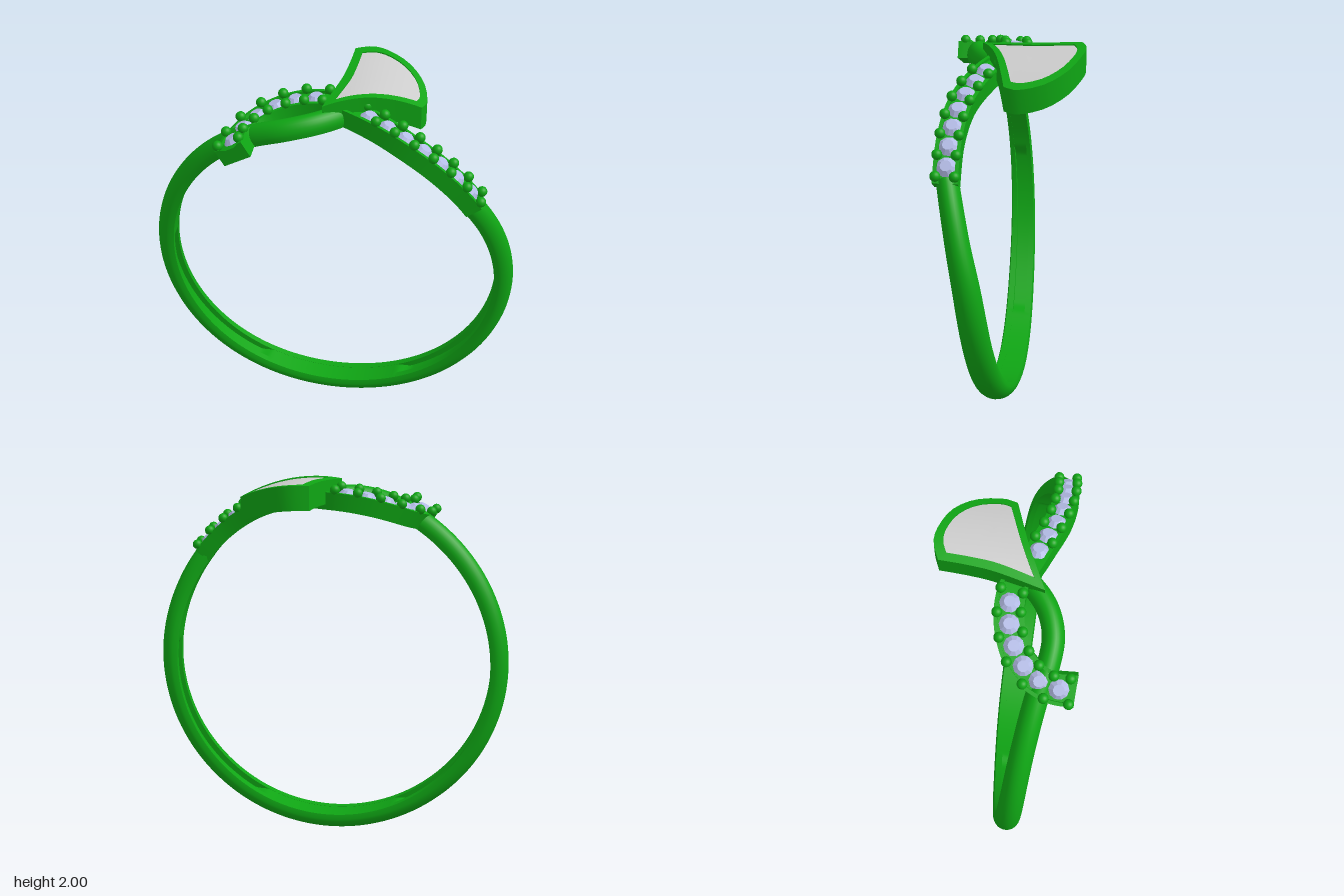
import * as THREE from 'three';
import { toCreasedNormals } from 'three/addons/utils/BufferGeometryUtils.js';

const R = 0.91;    // mid radius of the ring
const CY = 0.955;  // height of the ring centre
const V = (x, y, z) => new THREE.Vector3(x, y, z);

// Skin a list of equal-length loops of points; optionally join last to first or cap ends.
function loft(loops, { ring = false, capStart = false, capEnd = false } = {}) {
  const n = loops[0].length, m = loops.length;
  const pts = loops.flat(), index = [];
  for (let i = 0; i < (ring ? m : m - 1); i++) {
    const p = i * n, q = ((i + 1) % m) * n;
    for (let j = 0; j < n; j++) {
      const k = (j + 1) % n;
      index.push(p + j, p + k, q + j, p + k, q + k, q + j);
    }
  }
  const cap = (base, flip) => {
    const c = V(0, 0, 0);
    for (let j = 0; j < n; j++) c.addScaledVector(pts[base + j], 1 / n);
    const id = pts.push(c) - 1;
    for (let j = 0; j < n; j++) {
      const a = base + j, b = base + (j + 1) % n;
      flip ? index.push(id, b, a) : index.push(id, a, b);
    }
  };
  if (capStart) cap(0, true);
  if (capEnd) cap((m - 1) * n, false);
  const g = new THREE.BufferGeometry().setFromPoints(pts);
  g.setIndex(index);
  return toCreasedNormals(g, 0.6);
}

// Paths live on the unrolled ring cylinder: (arc length, z, half width).
const railDeg = rows => new THREE.CatmullRomCurve3(
  rows.map(([deg, z, w]) => V(R * THREE.MathUtils.degToRad(deg), z, w)));
const railX = rows => new THREE.CatmullRomCurve3(
  rows.map(([x, z, w]) => V(R * Math.acos(x / R), z, w)));

// Place a point at offset w across the path and distance r from the ring axis.
function frame(rail, u) {
  const p = rail.getPointAt(u), t = rail.getTangentAt(u), a = p.x / R;
  const N = V(Math.cos(a), Math.sin(a), 0);
  const T = V(-Math.sin(a) * t.x, Math.cos(a) * t.x, t.y).normalize();
  const B = N.clone().cross(T);
  const at = (w, r) => V(0, CY, p.y).addScaledVector(N, r).addScaledVector(B, w);
  return { N, at, halfWidth: p.z, deg: THREE.MathUtils.radToDeg(a) };
}

function sweep(rail, steps, section) {
  const loops = [];
  for (let i = 0; i <= steps; i++) {
    const f = frame(rail, i / steps);
    loops.push(section(f.halfWidth, f.deg).map(([w, r]) => f.at(w, r)));
  }
  return loft(loops, { capStart: true, capEnd: true });
}

// D-shaped band section, with a shallow groove inside on both flanks.
function bandSection(hw, deg) {
  const d = Math.abs(Math.abs(deg + 90) - 60);
  const g = 0.001 + 0.03 * THREE.MathUtils.clamp((35 - d) / 4, 0, 1);
  const r = 0.86, s = 0.035;
  const pts = [[-hw * 0.9, r], [-s, r], [-s, r + g], [s, r + g], [s, r], [hw * 0.9, r]];
  for (let k = 0; k <= 14; k++) {
    const a = Math.PI * k / 14;
    pts.push([hw * Math.cos(a), 0.885 + 0.07 * Math.sin(a)]);
  }
  return pts;
}

// Box section with a channel on top for the stones.
function armSection(hw) {
  const c = hw - 0.018;
  return [[-hw, 0.862], [hw, 0.862], [hw, 0.953], [c, 0.953],
    [c, 0.938], [-c, 0.938], [-c, 0.953], [-hw, 0.953]];
}

// Closed outline from three curved edges that meet in sharp corners.
function outline(edges) {
  return edges.flatMap(e => new THREE.SplineCurve(e.map(([x, z]) => new THREE.Vector2(x, z)))
    .getPoints(16).slice(0, -1));
}
const petalTop = (x, z) => 2.0 - 0.8 * (x - 0.1) ** 2 - 0.08 * (z + 0.36);
const drape = (loop, drop) => loop.map(p => V(p.x, petalTop(p.x, p.y) - drop, p.y));

export function createModel() {
  const group = new THREE.Group();
  const green = new THREE.MeshStandardMaterial({ color: 0x0fa514 });
  const greenThin = new THREE.MeshStandardMaterial({ color: 0x0fa514, side: THREE.DoubleSide });
  const grey = new THREE.MeshStandardMaterial({ color: 0xcccccc, side: THREE.DoubleSide });
  const stone = new THREE.MeshStandardMaterial({ color: 0xb4bce6, flatShading: true });
  const add = (name, geo, mat, parent = group) => {
    const m = new THREE.Mesh(geo, mat);
    m.name = name;
    parent.add(m);
    return m;
  };

  // Plain band: from the right shoulder round the bottom and up to the petal
  const band = railDeg([
    [38, 0.24, 0.055], [20, 0.18, 0.06], [0, 0.12, 0.07], [-45, 0.055, 0.077],
    [-90, 0.02, 0.08], [-135, 0.035, 0.075], [-180, 0.068, 0.066], [-215, 0.115, 0.06],
    [-237, 0.17, 0.058], [-248, 0.215, 0.056], [-256, 0.225, 0.055], [-264, 0.19, 0.055],
    [-271, 0.11, 0.055], [-275, 0.03, 0.05]]);
  add('band', sweep(band, 260, bandSection), green);

  // Stone-set arm: curls from the front left, under the petal, to the right shoulder
  const arm = railX([
    [-0.452, 0.35, 0.078], [-0.443, 0.23, 0.075], [-0.37, 0.1, 0.075], [-0.25, 0.03, 0.073],
    [-0.12, 0.008, 0.072], [0, 0.025, 0.068], [0.1, 0.085, 0.062], [0.22, 0.14, 0.062],
    [0.4, 0.21, 0.062], [0.57, 0.24, 0.062], [0.735, 0.242, 0.062]]);
  add('stoneArm', sweep(arm, 120, armSection), green);

  // Round stones in the channel, with a pair of beads between neighbours
  const stones = new THREE.Group(), beads = new THREE.Group();
  stones.name = 'stones';
  beads.name = 'beads';
  group.add(stones, beads);
  const stoneGeo = new THREE.CylinderGeometry(0.028, 0.05, 0.024, 10);
  const beadGeo = new THREE.SphereGeometry(0.026, 16, 12);
  const up = V(0, 1, 0), length = arm.getLength(), margin = 0.03;
  const count = Math.round((length - 2 * margin) / 0.102);
  const along = i => (margin + (length - 2 * margin) * i / count) / length;
  const hidden = p => p.x > -0.02 && p.x < 0.14;
  for (let i = 0; i <= count; i++) {
    const f = frame(arm, along(i));
    for (const side of [-1, 1]) {
      const p = f.at(side * (f.halfWidth - 0.016), 0.966);
      if (!hidden(p)) add('bead', beadGeo, green, beads).position.copy(p);
    }
    if (i === count) break;
    const s = frame(arm, along(i + 0.5)), q = s.at(0, 0.952);
    if (hidden(q)) continue;
    const m = add('stone', stoneGeo, stone, stones);
    m.position.copy(q);
    m.quaternion.setFromUnitVectors(up, s.N);
  }

  // Petal: hollow curved rim with a grey inlay
  const outer = outline([
    [[-0.04, 0.17], [0.06, 0.125], [0.2, 0.07], [0.43, 0.005]],
    [[0.43, 0.005], [0.45, -0.07], [0.42, -0.2], [0.34, -0.3], [0.23, -0.355], [0.14, -0.37], [0.05, -0.34]],
    [[0.05, -0.34], [0.04, -0.2], [0.02, -0.06], [-0.04, 0.17]]]);
  const inner = outline([
    [[0.015, 0.115], [0.09, 0.08], [0.22, 0.03], [0.4, -0.025]],
    [[0.4, -0.025], [0.412, -0.08], [0.385, -0.185], [0.315, -0.27], [0.22, -0.318], [0.15, -0.325], [0.09, -0.305]],
    [[0.09, -0.305], [0.082, -0.19], [0.065, -0.06], [0.015, 0.115]]]);
  add('petalRim', loft([drape(outer, 0.125), drape(outer, 0), drape(inner, 0), drape(inner, 0.125)],
    { ring: true }), green);

  const centre = new THREE.Vector2(0.22, -0.12);
  const plate = drop => loft([1, 0.8, 0.6, 0.4, 0.2].map(s =>
    drape(inner.map(p => centre.clone().lerp(p, s)), drop)), { capEnd: true });
  add('petalInlay', plate(0.006), grey);
  add('petalFloor', plate(0.05), greenThin);

  return group;
}
